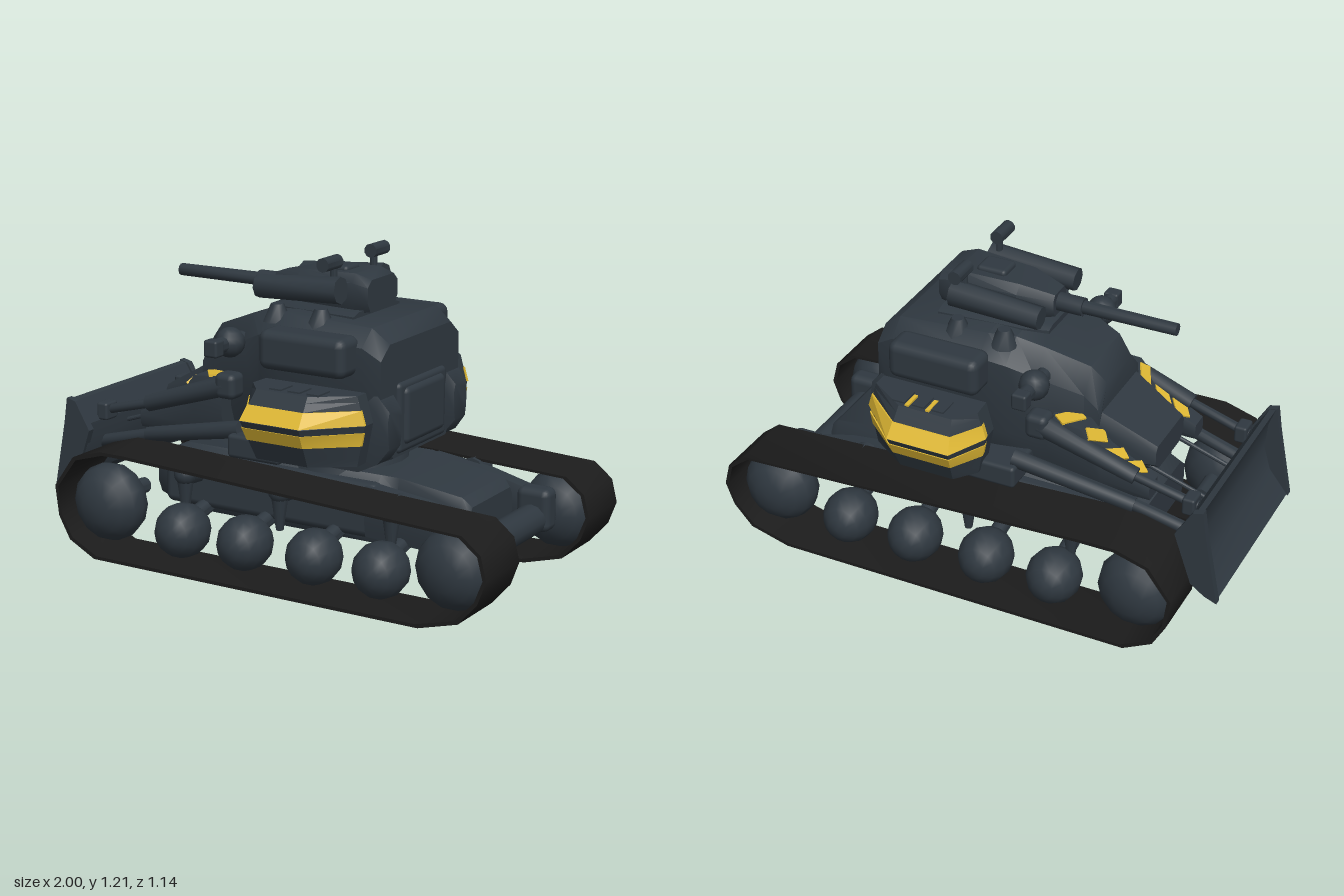
import * as THREE from 'three';
import { toCreasedNormals } from 'three/addons/utils/BufferGeometryUtils.js';
import { RoundedBoxGeometry } from 'three/addons/geometries/RoundedBoxGeometry.js';

const make = (name, color) => Object.assign(new THREE.MeshStandardMaterial({ color }), { name });

// Skin a list of equal-length rings and cap both ends; always faces outwards.
function loft(rings, crease = 0.75) {
  const tris = [], n = rings[0].length, last = rings.length - 1;
  for (let r = 0; r < last; r++) {
    for (let i = 0; i < n; i++) {
      const j = (i + 1) % n, a = rings[r], b = rings[r + 1];
      tris.push([a[i], a[j], b[j]], [a[i], b[j], b[i]]);
    }
  }
  for (let i = 1; i < n - 1; i++) {
    tris.push([rings[0][0], rings[0][i + 1], rings[0][i]]);
    tris.push([rings[last][0], rings[last][i], rings[last][i + 1]]);
  }
  const v = (p) => new THREE.Vector3(...p);
  const origin = v(rings[0][0]);
  let volume = 0;
  for (const t of tris) {
    const [a, b, c] = t.map((p) => v(p).sub(origin));
    volume += a.dot(b.cross(c));
  }
  if (volume < 0) tris.forEach((t) => t.reverse());
  const g = new THREE.BufferGeometry();
  g.setAttribute('position', new THREE.Float32BufferAttribute(tris.flat(2), 3));
  return toCreasedNormals(g, crease);
}

// Eight-sided hull section across the vehicle, offset sideways by zc.
function section([x, y0, y1, wBottom, wSide, wTop, bevel = 0.22], zc = 0) {
  const h = y1 - y0;
  const half = [[y1, wTop], [y1 - bevel * h, wSide], [y0 + 0.3 * h, wSide], [y0, wBottom]];
  return [
    ...half.map(([y, w]) => [x, y, zc + w]),
    ...half.reverse().map(([y, w]) => [x, y, zc - w]),
  ];
}

export function createModel() {
  const armour = make('slateArmour', 0x2f3840);
  const rubber = make('blackTrack', 0x1c1c1c);
  const yellow = make('warningYellow', 0xdfb834);
  const root = new THREE.Group();

  function add(name, geo, mat = armour, pos = [0, 0, 0], rot = [0, 0, 0], parent = root) {
    const m = new THREE.Mesh(geo, mat);
    m.name = name;
    m.position.set(...pos);
    m.rotation.set(...rot);
    parent.add(m);
    return m;
  }
  const block = (name, [x0, x1], [y0, y1], [z0, z1], r = 0.015) => add(name,
    new RoundedBoxGeometry(x1 - x0, y1 - y0, Math.abs(z1 - z0), 2, r), armour,
    [(x0 + x1) / 2, (y0 + y1) / 2, (z0 + z1) / 2]);
  const hullPart = (name, rows, zc = 0) => add(name, loft(rows.map((row) => section(row, zc))));
  function rod(name, a, b, r0, r1 = r0, sides = 10) {
    const A = new THREE.Vector3(...a), B = new THREE.Vector3(...b), d = B.clone().sub(A);
    const m = add(name, toCreasedNormals(new THREE.CylinderGeometry(r1, r0, d.length(), sides), 0.8));
    m.position.copy(A).add(B).multiplyScalar(0.5);
    m.quaternion.setFromUnitVectors(new THREE.Vector3(0, 1, 0), d.normalize());
  }
  const ball = (name, pos, r) => add(name, new THREE.SphereGeometry(r, 12, 8), armour, pos);

  // Lower hull, turret ring and rear axle
  hullPart('lowerHull', [
    [-0.62, 0.2, 0.36, 0.2, 0.22, 0.18], [-0.48, 0.16, 0.42, 0.22, 0.26, 0.2],
    [0.38, 0.16, 0.42, 0.22, 0.25, 0.2], [0.44, 0.16, 0.41, 0.16, 0.185, 0.17],
    [0.7, 0.17, 0.375, 0.16, 0.185, 0.165], [0.735, 0.2, 0.34, 0.15, 0.17, 0.15]]);
  rod('turretRing', [0.12, 0.39, 0], [0.12, 0.48, 0], 0.24, 0.22, 20);
  rod('rearAxle', [0.8, 0.21, -0.3], [0.8, 0.21, 0.3], 0.06, 0.06, 12);

  // Main upper body
  hullPart('upperBody', [
    [-0.64, 0.51, 0.615, 0.1, 0.135, 0.12], [-0.43, 0.47, 0.73, 0.14, 0.185, 0.16],
    [-0.425, 0.47, 0.83, 0.14, 0.185, 0.11], [-0.37, 0.47, 0.895, 0.15, 0.19, 0.13],
    [-0.2, 0.46, 0.955, 0.2, 0.25, 0.17, 0.18], [-0.1, 0.46, 0.99, 0.22, 0.29, 0.2, 0.15],
    [0.0, 0.46, 0.995, 0.23, 0.31, 0.23, 0.12], [0.36, 0.46, 0.98, 0.23, 0.31, 0.24, 0.12],
    [0.43, 0.49, 0.925, 0.2, 0.295, 0.23, 0.12]]);
  block('rearHatch', [0.36, 0.46], [0.53, 0.75], [-0.15, 0.15], 0.025);
  block('rearHatchFrame', [0.36, 0.445], [0.5, 0.77], [-0.18, 0.18], 0.02);
  hullPart('turretBase', [
    [-0.18, 0.94, 0.985, 0.07, 0.09, 0.06], [-0.1, 0.95, 1.01, 0.15, 0.15, 0.1],
    [0.24, 0.95, 1.005, 0.17, 0.17, 0.13]]);

  // Gun turret and central cannon
  hullPart('gunTurret', [
    [-0.18, 1.01, 1.1, 0.04, 0.055, 0.04], [-0.05, 0.99, 1.13, 0.08, 0.1, 0.07],
    [0.2, 0.99, 1.14, 0.1, 0.115, 0.09], [0.265, 1.0, 1.12, 0.09, 0.11, 0.08]]);
  rod('cannonCollar', [-0.28, 1.055, 0], [-0.15, 1.055, 0], 0.036);
  rod('cannonBarrel', [-0.65, 1.055, 0], [-0.25, 1.055, 0], 0.024, 0.026);
  block('turretHatch', [0.02, 0.14], [1.11, 1.153], [-0.05, 0.05]);

  // Track belt outline
  const beltPoints = [[-0.88, 0.27], [-0.865, 0.15], [-0.815, 0.06], [-0.7, 0], [0.73, 0],
    [0.89, 0.045], [0.965, 0.13], [0.998, 0.22], [0.975, 0.31], [0.9, 0.37], [-0.55, 0.435],
    [-0.66, 0.435], [-0.79, 0.395]].map((p) => new THREE.Vector2(...p));
  const belt = new THREE.Shape(beltPoints);
  belt.holes.push(new THREE.Path(beltPoints.map((p) =>
    new THREE.Vector2(0.06 + (p.x - 0.06) * 0.985, 0.22 + (p.y - 0.22) * 0.94)).reverse()));
  const beltGeo = toCreasedNormals(
    new THREE.ExtrudeGeometry(belt, { depth: 0.255, bevelEnabled: false }), 0.8);

  // Side pod ring at height y; grow and inner give the painted bands their slight offset
  const podRing = (s, y, grow = 1, inner = 0.33) => {
    const k = 1 - (y > 0.655 ? (y - 0.655) / 0.105 : (0.655 - y) / 0.155) * 0.32;
    const zOut = 0.33 + 0.235 * k + (grow - 1) * 0.3, wide = (0.62 + 0.38 * k) * grow;
    return [[-0.07, inner], [-0.075, 0.41], [0.0, zOut], [0.25, zOut],
      [0.42, 0.39 + (grow - 1) * 0.3], [0.42, inner]]
      .map(([x, z]) => [0.17 + (x - 0.17) * wide, y, s * z]);
  };
  const stripes = [[0.58, 0.63], [0.658, 0.711]];

  for (const s of [1, -1]) {
    // Running gear
    add('trackBelt', beltGeo, rubber, [0, 0, s > 0 ? 0.29 : -0.545]);
    const wheels = [[-0.705, 0.2, 0.156], [0.815, 0.2, 0.153],
      [-0.365, 0.14, 0.107], [-0.08, 0.14, 0.107], [0.225, 0.14, 0.107], [0.51, 0.14, 0.107]];
    for (const [x, y, r] of wheels) {
      const w = add('wheel', new THREE.SphereGeometry(r, 14, 8), armour, [x, y, s * 0.42], [Math.PI / 2, 0, 0]);
      w.scale.y = 0.115 / r;
      if (x < 0.8) rod('wheelAxle', [x, 0.21, s * 0.2], [x, y + 0.02, s * 0.42], 0.032);
    }
    for (const x of [-0.4, 0.03, 0.51]) {
      rod('suspensionKnob', [x, 0.34, s * 0.27], [x, 0.34, s * 0.35], 0.05, 0.045);
      ball('suspensionCap', [x, 0.34, s * 0.35], 0.044);
      rod('suspensionStrut', [x, 0.33, s * 0.35], [x, 0.19, s * 0.35], 0.035, 0.015);
    }
    hullPart('rearSwingArm', [[0.36, 0.2, 0.395, 0.03, 0.04, 0.03],
      [0.6, 0.19, 0.365, 0.03, 0.04, 0.03], [0.82, 0.17, 0.31, 0.03, 0.04, 0.03]], s * 0.25);
    block('axleHousing', [0.73, 0.87], [0.16, 0.33], [s * 0.2, s * 0.29], 0.03);
    block('sideSkirt', [-0.55, 0.4], [0.19, 0.4], [s * 0.2, s * 0.28], 0.03);

    // Side pods with painted bands
    add('sidePod', loft([0.5, 0.53, ...stripes[0], 0.655, ...stripes[1], 0.74, 0.762]
      .map((y) => podRing(s, y)), 0.3));
    for (const band of stripes) {
      add('podStripe', loft(band.map((y) => podRing(s, y, 1.016, 0.385)), 0.3), yellow);
    }
    for (const x of [0.09, 0.17, 0.25]) {
      add('podVent', new THREE.BoxGeometry(0.05, 0.008, 0.08), armour, [x, 0.764, s * 0.43]);
    }
    block('podMount', [0.0, 0.34], [0.55, 0.71], [s * 0.26, s * 0.35]);

    // Body side boxes and shoulder joints
    block('upperSideBox', [-0.035, 0.335], [0.81, 0.96], [s * 0.27, s * 0.405], 0.035);
    hullPart('rearSideBox', [[0.1, 0.45, 0.73, 0.05, 0.062, 0.05], [0.34, 0.45, 0.75, 0.05, 0.062, 0.05],
      [0.42, 0.49, 0.745, 0.05, 0.062, 0.05], [0.465, 0.55, 0.69, 0.04, 0.05, 0.04]], s * 0.25);
    block('bodyBracket', [-0.18, 0.05], [0.45, 0.54], [s * 0.2, s * 0.39]);
    ball('shoulderJoint', [-0.22, 0.87, s * 0.3], 0.058);
    rod('shoulderShaft', [-0.22, 0.87, s * 0.22], [-0.22, 0.87, s * 0.42], 0.03);
    block('shoulderCap', [-0.25, -0.19], [0.835, 0.9], [s * 0.38, s * 0.435], 0.01);
    for (const x of [-0.06, 0.13]) rod('roofStud', [x, 0.955, s * 0.22], [x, 1.022, s * 0.22], 0.055, 0.025, 8);

    // Turret side launchers and sights
    rod('sideLauncher', [-0.18, 1.065, s * 0.16], [0.18, 1.085, s * 0.16], 0.045, 0.052, 8);
    rod('sightPost', [0.14, 1.1, s * 0.145], [0.14, 1.18, s * 0.145], 0.014);
    rod('sightHead', [0.14, 1.185, s * 0.12], [0.14, 1.185, s * 0.225], 0.027);

    // Front guards with broad slanted paint patches on their tops
    hullPart('frontGuard', [
      [-0.67, 0.47, 0.535, 0.03, 0.04, 0.035], [-0.48, 0.48, 0.625, 0.045, 0.06, 0.05],
      [-0.4, 0.5, 0.715, 0.05, 0.065, 0.055], [-0.27, 0.52, 0.725, 0.05, 0.065, 0.05]], s * 0.225);
    for (const [x, y, width, tilt] of [[-0.59, 0.575, 0.055, 0.44], [-0.515, 0.611, 0.05, 0.44],
      [-0.44, 0.673, 0.05, 0.84], [-0.335, 0.722, 0.06, 0.08]]) {
      const top = new THREE.Group();
      top.name = 'guardPaint';
      top.position.set(x, y, s * 0.228);
      top.rotation.z = tilt;
      root.add(top);
      add('guardPatch', new THREE.BoxGeometry(width, 0.009, 0.1), yellow,
        [0, 0, 0], [0, s * 0.65, 0], top);
    }

    // Blade hydraulics and push arms
    block('armPivot', [-0.28, -0.19], [0.65, 0.75], [s * 0.24, s * 0.33], 0.025);
    rod('ramCylinder', [-0.24, 0.7, s * 0.29], [-0.62, 0.575, s * 0.275], 0.042, 0.034);
    rod('ramPiston', [-0.6, 0.58, s * 0.275], [-0.86, 0.51, s * 0.26], 0.019);
    block('ramFoot', [-0.86, -0.81], [0.48, 0.55], [s * 0.225, s * 0.3], 0.01);
    rod('pushArm', [-0.15, 0.55, s * 0.33], [-0.62, 0.45, s * 0.28], 0.035, 0.03);
    rod('pushArmEnd', [-0.6, 0.455, s * 0.28], [-0.88, 0.38, s * 0.26], 0.025);
    rod('innerLink', [-0.58, 0.53, s * 0.115], [-0.88, 0.43, s * 0.115], 0.009);
  }
  for (const x of [0.125, 0.21]) {
    add('ventMark', new THREE.BoxGeometry(0.016, 0.009, 0.075), yellow, [x, 0.765, -0.445]);
  }

  // Dozer blade: curved plate and end plates
  const across = (name, points, z0, z1) => add(name, toCreasedNormals(new THREE.ExtrudeGeometry(
    new THREE.Shape(points.map((p) => new THREE.Vector2(...p))),
    { depth: z1 - z0, bevelEnabled: false }), 0.5), armour, [0, 0, z0]);
  across('bladePlate', [[-0.925, 0.575], [-0.9, 0.5], [-0.89, 0.4], [-0.92, 0.3], [-0.995, 0.205],
    [-0.95, 0.225], [-0.89, 0.27], [-0.845, 0.4], [-0.845, 0.48], [-0.9, 0.57]], -0.38, 0.38);
  const endPlate = [[-0.93, 0.58], [-0.945, 0.48], [-1, 0.2], [-0.95, 0.22], [-0.895, 0.26],
    [-0.825, 0.46], [-0.89, 0.57]];
  across('bladeEnd', endPlate, 0.365, 0.395);
  across('bladeEnd', endPlate, -0.395, -0.365);
  return root;
}
